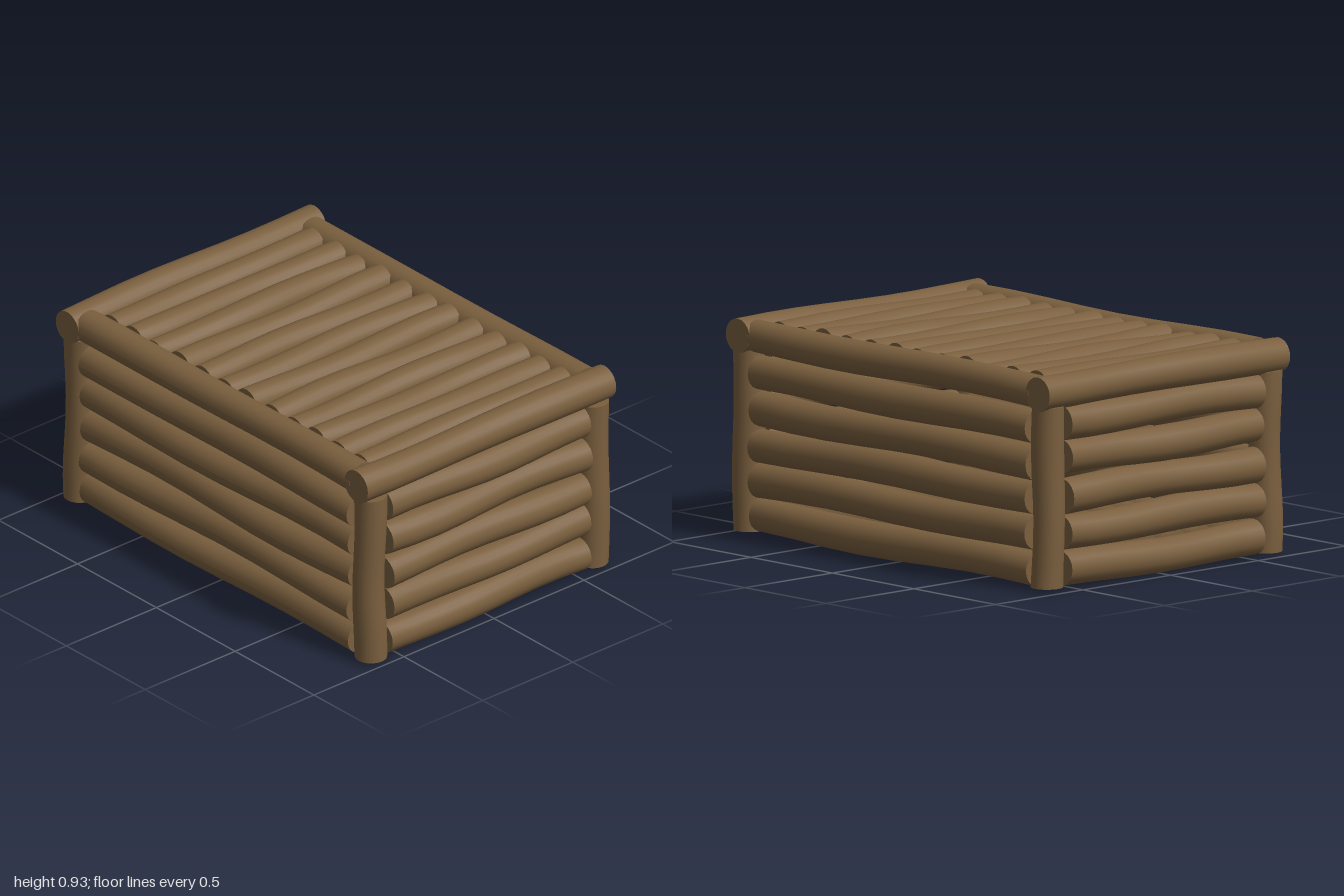
import * as THREE from 'three';

const bark = new THREE.MeshStandardMaterial({ color: 0x7a5f3e });
bark.name = 'bark brown';

let logCount = 0;

// One slightly crooked log running along the given axis
function addLog(parent, name, axis, length, radius, x, y, z, bend = 0.006) {
  const phase = 1.7 * logCount++;
  const geometry = new THREE.CylinderGeometry(radius, radius, length, 20, 8);
  const pos = geometry.attributes.position;
  for (let i = 0; i < pos.count; i++) {
    const t = pos.getY(i) / length; // -0.5 to 0.5 along the log
    const swell = 1 + 0.03 * Math.sin(7 * t + phase * 2);
    pos.setX(i, pos.getX(i) * swell + bend * Math.sin(8 * t + phase));
    pos.setZ(i, pos.getZ(i) * swell + bend * Math.cos(6 * t + phase * 1.3));
  }
  if (axis === 'x') geometry.rotateZ(-Math.PI / 2);
  if (axis === 'z') geometry.rotateX(Math.PI / 2);
  geometry.computeVertexNormals();
  const log = new THREE.Mesh(geometry, bark);
  log.name = name;
  log.position.set(x, y, z);
  parent.add(log);
}

function addGroup(parent, name) {
  const group = new THREE.Group();
  group.name = name;
  parent.add(group);
  return group;
}

export function createModel() {
  logCount = 0;
  const crate = new THREE.Group();
  crate.name = 'logCrate';

  // Upright corner posts
  const posts = addGroup(crate, 'cornerPosts');
  for (const x of [-0.915, 0.92])
    for (const z of [-0.62, 0.62]) addLog(posts, 'cornerPost', 'y', 0.77, 0.068, x, 0.405, z, 0.004);

  // Stacked logs of the front and back walls
  const longWalls = addGroup(crate, 'frontAndBackWalls');
  for (const z of [-0.615, 0.615])
    for (const y of [0.085, 0.237, 0.39, 0.54, 0.69])
      addLog(longWalls, 'wallLog', 'x', 1.7, 0.073, 0.005, y, z);

  // Stacked logs of the left and right walls
  const endWalls = addGroup(crate, 'endWalls');
  for (const x of [-0.92, 0.92])
    for (const y of [0.085, 0.245, 0.4, 0.56, 0.713])
      addLog(endWalls, 'wallLog', 'z', 1.1, 0.074, x, y, 0);

  // Top rim: full-length end logs, with shorter logs between them
  const rim = addGroup(crate, 'topRim');
  for (const x of [-0.923, 0.912]) addLog(rim, 'endRimLog', 'z', 1.38, 0.073, x, 0.85, 0, 0.004);
  for (const z of [-0.62, 0.615]) addLog(rim, 'longRimLog', 'x', 1.74, 0.07, 0, 0.845, z, 0.005);

  // Lid logs running front to back
  const lid = addGroup(crate, 'lid');
  for (const x of [-0.785, -0.645, -0.505, -0.35, -0.21, -0.06, 0.08, 0.235, 0.375, 0.52, 0.66, 0.795])
    addLog(lid, 'lidLog', 'z', 1.13, 0.068, x, 0.845, 0);

  // Floor logs running side to side
  const floor = addGroup(crate, 'floor');
  for (let i = -3; i <= 3; i++) addLog(floor, 'floorLog', 'x', 1.72, 0.074, 0, 0.088, i * 0.156);

  return crate;
}
